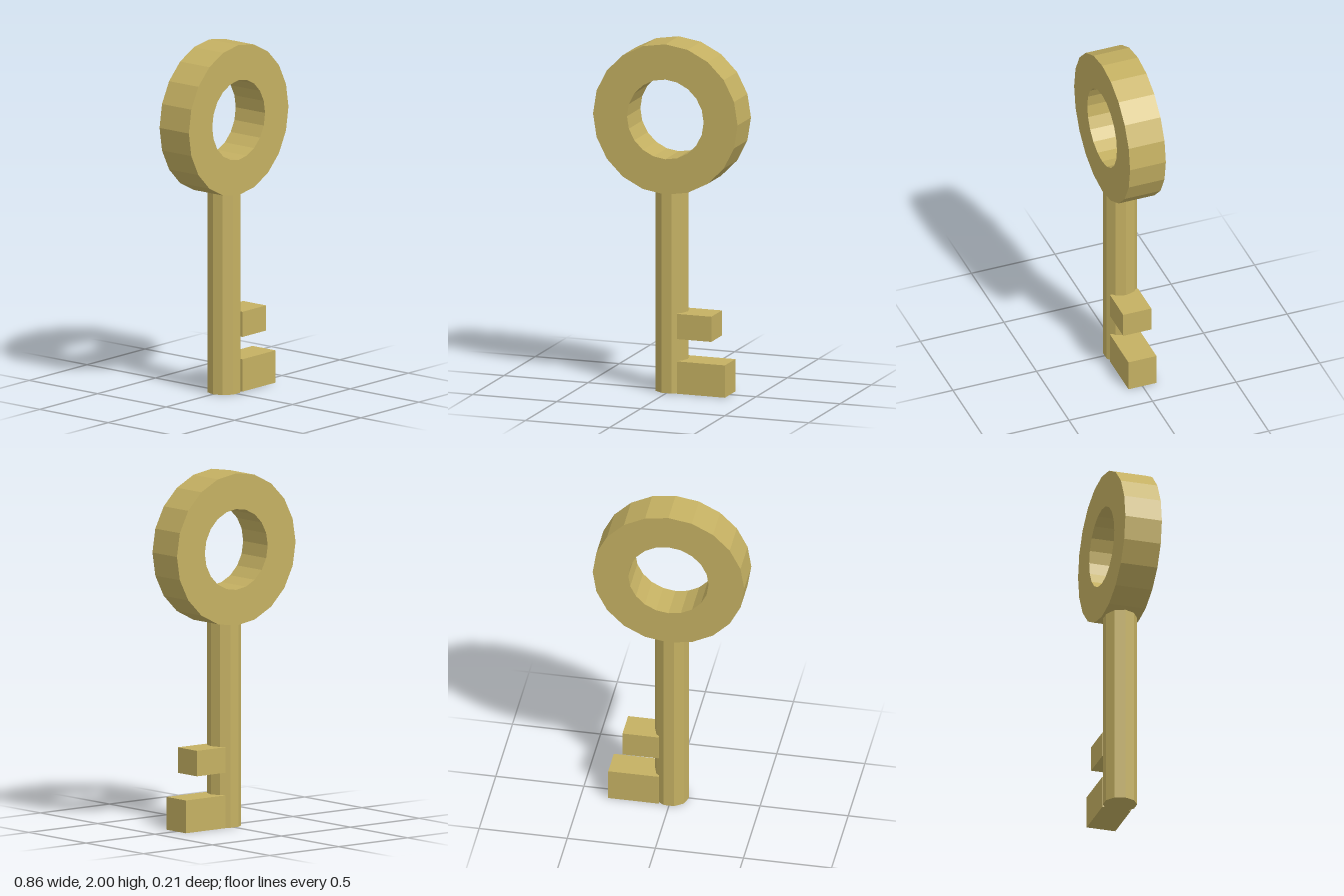
import * as THREE from 'three';

export function createModel() {
  const key = new THREE.Group();
  key.name = 'key';

  const brass = new THREE.MeshStandardMaterial({ color: 0xc4b062, flatShading: true });
  brass.name = 'brass';

  const add = (name, geometry, x, y, z) => {
    const mesh = new THREE.Mesh(geometry, brass);
    mesh.name = name;
    mesh.position.set(x, y, z);
    key.add(mesh);
  };

  // Twenty-sided outline with corners on the axes
  const polygon = (radius) => Array.from({ length: 20 }, (_, i) => {
    const a = (i / 20) * Math.PI * 2;
    return new THREE.Vector2(radius * Math.cos(a), radius * Math.sin(a));
  });

  // Ring-shaped handle
  const depth = 0.214;
  const ring = new THREE.Shape(polygon(0.43));
  ring.holes.push(new THREE.Path(polygon(0.228)));
  add('handleRing', new THREE.ExtrudeGeometry(ring, { depth, bevelEnabled: false }), 0, 1.57, -depth / 2);

  // Ten-sided shaft, its top tucked into the ring
  const shaftHeight = 1.16;
  add('shaft', new THREE.CylinderGeometry(0.096, 0.096, shaftHeight, 10, 1, false, Math.PI / 2), 0, shaftHeight / 2, 0);

  // Teeth: outer x, bottom and top
  const teeth = [
    ['lowerTooth', 0.346, 0, 0.185],
    ['upperTooth', 0.265, 0.313, 0.457],
  ];
  const innerX = 0.06;
  for (const [name, outerX, bottom, top] of teeth) {
    add(name, new THREE.BoxGeometry(outerX - innerX, top - bottom, 0.168), (outerX + innerX) / 2, (top + bottom) / 2, 0);
  }

  return key;
}
